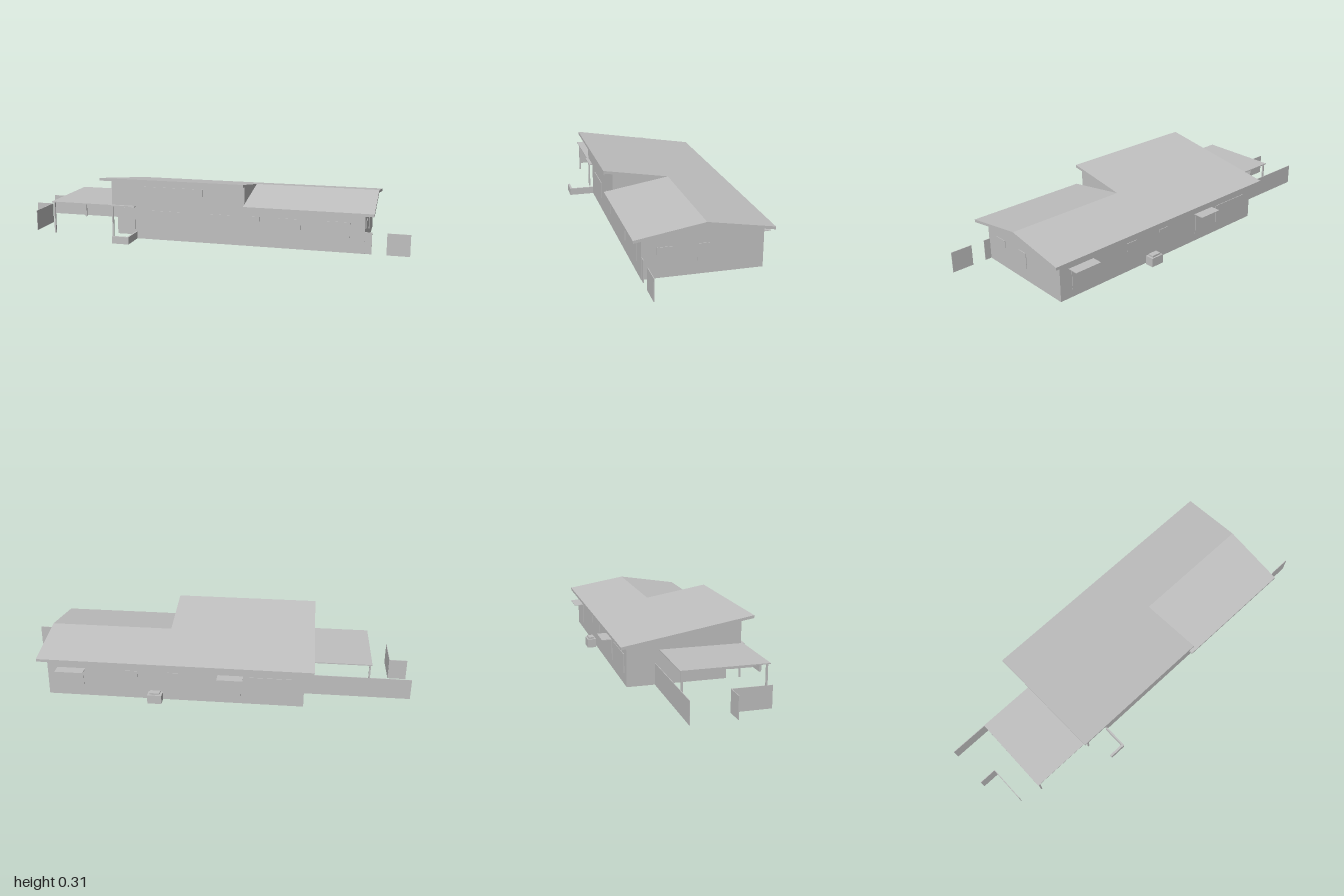
import * as THREE from 'three';

export function createModel() {
  const house = new THREE.Group();
  house.name = 'house';
  const grey = new THREE.MeshStandardMaterial({ color: 0xc0c0c0 });
  grey.name = 'plain grey';

  const add = (name, geometry) => {
    const mesh = new THREE.Mesh(geometry, grey);
    mesh.name = name;
    house.add(mesh);
    return mesh;
  };
  // Box given by its limits on each axis
  const box = (name, x0, x1, y0, y1, z0, z1) => {
    const g = new THREE.BoxGeometry(x1 - x0, y1 - y0, z1 - z0);
    g.translate((x0 + x1) / 2, (y0 + y1) / 2, (z0 + z1) / 2);
    return add(name, g);
  };
  // Side profile of [z, y] points, extruded from x0 to x1
  const profile = (name, points, x0, x1) => {
    const shape = new THREE.Shape(points.map(([z, y]) => new THREE.Vector2(z, y)));
    const g = new THREE.ExtrudeGeometry(shape, { depth: x1 - x0, bevelEnabled: false });
    g.rotateY(-Math.PI / 2);
    g.translate(x1, 0, 0);
    return add(name, g);
  };

  // Roofs: a long single slope, and a lower gable on the left half
  const T = 0.0135;
  const slab = (line) => [...line, ...line.map(([z, y]) => [z, y - T]).reverse()];
  const back = [-0.35, 0.204], ridge = [-0.037, 0.256];
  profile('mainRoof', slab([back, ridge, [0.285, 0.31]]), -0.52, 0.213);
  profile('gableRoof', slab([back, ridge, [0.285, 0.203]]), 0.213, 0.833);

  // Outer walls
  const W = 0.01;
  profile('rightEndWall', [[-0.315, 0], [0.168, 0], [0.168, 0.165], [0.24, 0.165],
    [0.24, 0.289], [-0.037, 0.243], [-0.315, 0.197]], -0.475, -0.475 + W);
  profile('leftEndWall', [[-0.315, 0], [0.24, 0], [0.24, 0.198], [-0.037, 0.243],
    [-0.315, 0.197]], 0.79 - W, 0.79);
  profile('stepWall', [[-0.037, 0.19], [0.24, 0.19], [0.24, 0.289], [-0.037, 0.243]], 0.2, 0.21);
  box('backWall', -0.475, 0.79, 0, 0.198, -0.315, -0.315 + W);
  box('frontWallLow', 0.2, 0.79, 0, 0.198, 0.24 - W, 0.24);
  box('frontWallHigh', -0.345, 0.21, 0, 0.289, 0.24 - W, 0.24);
  box('wallOverEntry', -0.475, -0.345, 0.165, 0.289, 0.24 - W, 0.24);
  box('entryBackWall', -0.475, -0.345, 0, 0.165, 0.158, 0.168);
  box('entrySideWall', -0.345, -0.335, 0, 0.165, 0.158, 0.24);
  box('entryDoor', -0.44, -0.38, 0.005, 0.14, 0.168, 0.171);

  // Windows as thin panes on the walls: [x0, x1, y0, y1]
  const P = 0.003;
  [[-0.267, -0.087, 0.06, 0.148], [0.04, 0.15, 0.06, 0.148], [0.24, 0.285, 0.115, 0.148],
    [0.38, 0.485, 0.057, 0.148], [0.607, 0.72, 0.057, 0.148],
    [-0.34, -0.12, 0.215, 0.268], [-0.11, 0.0, 0.215, 0.268]]
    .forEach(([a, b, c, d]) => box('frontWindow', a, b, c, d, 0.24, 0.24 + P));
  [[0.61, 0.725, 0.04, 0.144], [0.34, 0.4, 0.105, 0.148], [0.13, 0.19, 0.105, 0.148],
    [-0.17, -0.06, 0.04, 0.144], [-0.43, -0.21, 0.055, 0.145]]
    .forEach(([a, b, c, d]) => box('backWindow', a, b, c, d, -0.315 - P, -0.315));
  box('leftWindow', 0.79, 0.79 + P, 0.108, 0.143, 0.1, 0.171);
  box('leftTallWindow', 0.79, 0.79 + P, 0.063, 0.143, -0.066, -0.01);

  // Awnings and the outdoor unit at the back
  [[0.6, 0.74], [-0.18, -0.055]].forEach(([a, b]) => box('awning', a, b, 0.146, 0.149, -0.368, -0.315));
  box('outdoorUnit', 0.215, 0.285, 0, 0.045, -0.367, -0.322);
  box('outdoorUnitTop', 0.225, 0.275, 0.045, 0.054, -0.359, -0.33);

  // Carport, entry canopy and posts
  box('carportRoof', -0.805, -0.475, 0.162, 0.167, -0.16, 0.25);
  box('entryCanopy', -0.475, -0.35, 0.162, 0.167, 0.168, 0.257);
  [[-0.795, 0.237], [-0.795, -0.15], [-0.473, 0.237]].forEach(([x, z]) =>
    box('post', x - 0.004, x + 0.004, 0, 0.162, z - 0.004, z + 0.004));

  // Low L-shaped wall by the entry
  box('lowWall', -0.35, -0.342, 0, 0.036, 0.24, 0.368);
  box('lowWallReturn', -0.428, -0.342, 0, 0.036, 0.357, 0.368);

  // Garden fences
  const F = 0.0015;
  box('backFence', -1, -0.475, 0, 0.105, -0.18 - F, -0.18 + F);
  box('sideFence', -1, -0.91, 0, 0.105, 0.03 - F, 0.03 + F);
  box('sideFenceReturn', -0.91 - F, -0.91 + F, 0, 0.105, 0.03, 0.216);
  box('frontFence', 0.79, 0.823, 0, 0.105, 0.237 - F, 0.237 + F);
  box('frontFenceEnd', 0.892, 1, 0, 0.105, 0.237 - F, 0.237 + F);

  // Inner partitions, open below
  [[-0.22, -0.305, -0.06], [0.02, -0.305, -0.08], [0.25, -0.305, -0.08], [0.46, -0.305, -0.08],
    [0.2, 0.04, 0.23], [0.34, 0.04, 0.23], [0.54, 0.02, 0.23], [-0.05, 0.1, 0.23]]
    .forEach(([x, a, b]) => box('partition', x, x + 0.008, 0, 0.19, a, b));
  [[-0.22, -0.1, -0.08], [0.0, 0.36, -0.08], [0.46, 0.7, -0.08], [0.2, 0.3, 0.04], [0.4, 0.7, 0.02]]
    .forEach(([a, b, z]) => box('partition', a, b, 0, 0.19, z, z + 0.008));

  // Furniture: beds, tables and counters [x, z, width, depth]
  [[0.69, 0.17, 0.11, 0.09], [0.615, -0.01, 0.09, 0.06], [0.43, 0.14, 0.1, 0.12],
    [0.62, -0.21, 0.12, 0.13], [0.36, -0.2, 0.1, 0.12], [0.14, -0.21, 0.12, 0.11],
    [-0.12, -0.22, 0.12, 0.1], [-0.2, 0.1, 0.13, 0.08], [-0.36, 0.06, 0.08, 0.1],
    [0.1, 0.1, 0.1, 0.08], [-0.36, -0.22, 0.14, 0.08]]
    .forEach(([x, z, w, d]) => box('furniture', x - w / 2, x + w / 2, 0.02, 0.05, z - d / 2, z + d / 2));

  return house;
}
